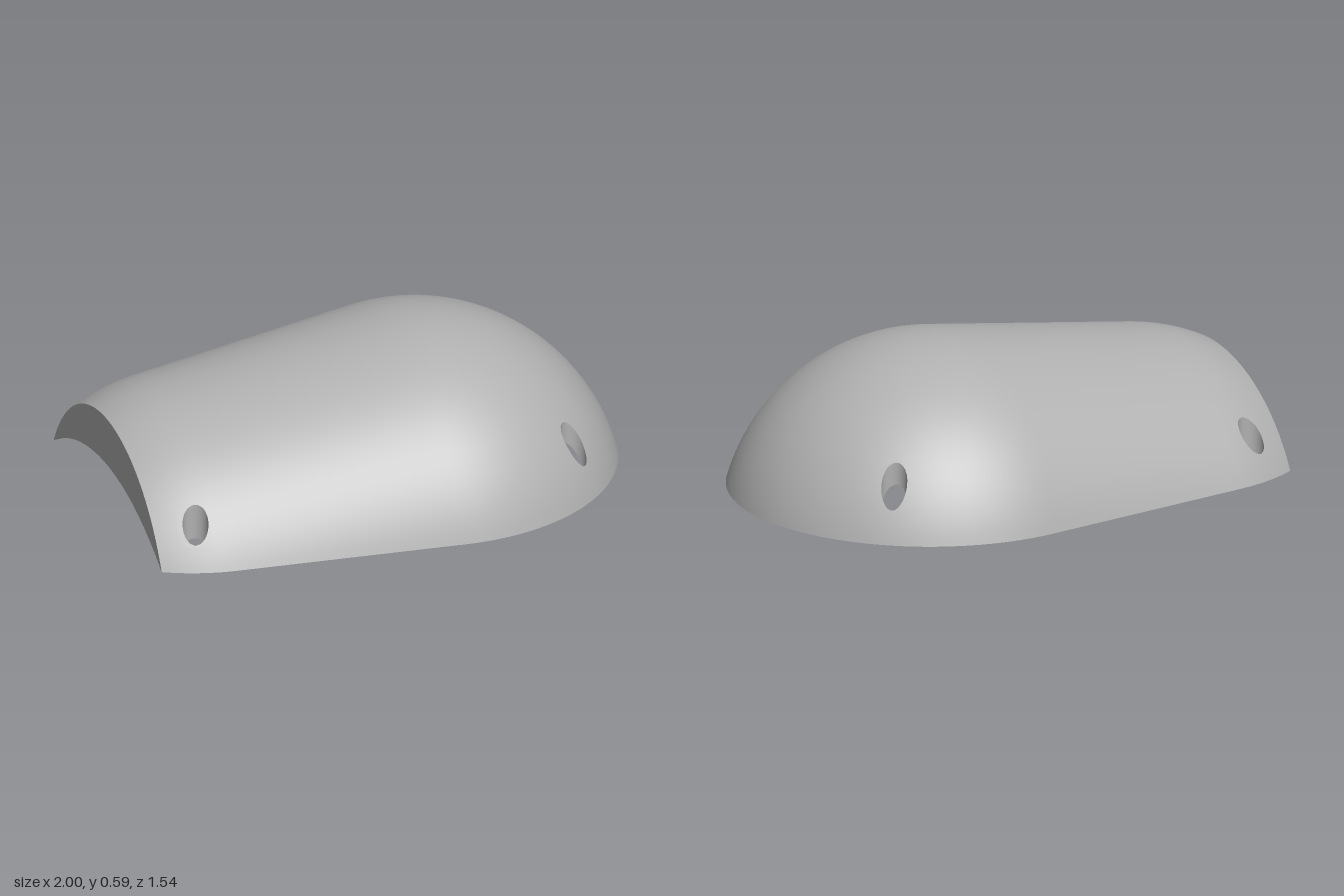
import * as THREE from 'three';

const NU = 120, NV = 72;       // grid cells along x and across z
const HOLE_R = 0.049;
const HOLES = [[-0.85, 0.555], [-0.85, -0.555], [0.69, 0.495], [0.69, -0.495]];

// Upper outline of two circles [x, y, radius] joined by their common tangent
function hull(a, b) {
  const dx = a[0] - b[0], dy = a[1] - b[1];
  const t = Math.atan2(dy, dx) + Math.asin((a[2] - b[2]) / Math.hypot(dx, dy));
  const touch = (c) => [c[0] - c[2] * Math.sin(t), c[1] + c[2] * Math.cos(t)];
  const A = touch(a), B = touch(b);
  const arc = (c, x) => c[1] + Math.sqrt(Math.max(0, c[2] ** 2 - (x - c[0]) ** 2));
  return (x) => {
    if (x >= A[0]) return Math.max(0, arc(a, x));
    if (x <= B[0]) return Math.max(0, arc(b, x));
    return B[1] + (A[1] - B[1]) * (x - B[0]) / (A[0] - B[0]);
  };
}

// A skin has a crown height and a half width for each x; each slice is a circular arc
function makeSkin(crown, halfWidth, xEnd) {
  const height = (x, z) => {
    const h = crown(x), w = halfWidth(x);
    if (h < 1e-5 || Math.abs(z) >= w) return 0;
    const r = (h * h + w * w) / (2 * h);
    return Math.max(0, h - r + Math.sqrt(Math.max(0, r * r - z * z)));
  };
  const xs = (i) => -1 + (xEnd + 1) * Math.sin((i / NU) * Math.PI / 2);
  const across = (j) => Math.sin((2 * j / NV - 1) * 1.1) / Math.sin(1.1);
  const at = (i, j) => {
    const x = xs(i), z = halfWidth(x) * across(j);
    return [x, j === 0 || j === NV ? 0 : height(x, z), z];
  };
  return { height, halfWidth, xs, across, at };
}

function toGeometry(points, index) {
  const g = new THREE.BufferGeometry();
  g.setAttribute('position', new THREE.Float32BufferAttribute(points.flat(), 3));
  g.setIndex(index);
  g.computeVertexNormals();
  return g;
}

// Grid surface with round holes stitched into it
function skinGeometry(skin, flip) {
  const pts = [], index = [], skip = new Set();
  const id = (i, j) => i * (NV + 1) + j;
  const tri = (a, b, c) => (flip ? index.push(a, c, b) : index.push(a, b, c));
  for (let i = 0; i <= NU; i++) for (let j = 0; j <= NV; j++) pts.push(skin.at(i, j));

  for (const [cx, cz] of HOLES) {
    // Block of cells around the hole
    const ss = [];
    for (let k = 0; k < 32; k++) {
      const t = k * Math.PI / 16, r = HOLE_R * 1.08;
      ss.push((cz + r * Math.sin(t)) / skin.halfWidth(cx + r * Math.cos(t)));
    }
    const lo = Math.min(...ss), hi = Math.max(...ss);
    let i0 = 0, i1 = NU, j0 = 0, j1 = NV;
    while (skin.xs(i0 + 1) < cx - HOLE_R * 1.08) i0++;
    while (skin.xs(i1 - 1) > cx + HOLE_R * 1.08) i1--;
    while (skin.across(j0 + 1) < lo) j0++;
    while (skin.across(j1 - 1) > hi) j1--;
    for (let i = i0; i < i1; i++) for (let j = j0; j < j1; j++) skip.add(id(i, j));
    const loop = [];
    for (let i = i0; i < i1; i++) loop.push(id(i, j0));
    for (let j = j0; j < j1; j++) loop.push(id(i1, j));
    for (let i = i1; i > i0; i--) loop.push(id(i, j1));
    for (let j = j1; j > j0; j--) loop.push(id(i0, j));

    // Rings from the hole's edge out to the block's edge
    const rings = [];
    for (let k = 0; k < 3; k++) {
      rings.push(loop.map((v) => {
        const [x, , z] = pts[v];
        const d = Math.hypot(x - cx, z - cz);
        const s = (HOLE_R + (d - HOLE_R) * k / 3) / d;
        const px = cx + (x - cx) * s, pz = cz + (z - cz) * s;
        return pts.push([px, skin.height(px, pz), pz]) - 1;
      }));
    }
    rings.push(loop);
    for (let k = 0; k < 3; k++) {
      loop.forEach((_, m) => {
        const n = (m + 1) % loop.length;
        const a = rings[k][m], b = rings[k][n], c = rings[k + 1][m], d = rings[k + 1][n];
        tri(a, b, c);
        tri(b, d, c);
      });
    }
  }

  for (let i = 0; i < NU; i++) {
    for (let j = 0; j < NV; j++) {
      if (skip.has(id(i, j))) continue;
      tri(id(i, j), id(i, j + 1), id(i + 1, j));
      tri(id(i, j + 1), id(i + 1, j + 1), id(i + 1, j));
    }
  }
  return toGeometry(pts, index);
}

// Band between two rows of points
function strip(count, p, q) {
  const pts = [], index = [];
  for (let k = 0; k <= count; k++) pts.push(p(k), q(k));
  for (let k = 0; k < count; k++) {
    const a = 2 * k;
    index.push(a, a + 1, a + 2, a + 1, a + 3, a + 2);
  }
  return toGeometry(pts, index);
}

export function createModel() {
  const group = new THREE.Group();
  const grey = new THREE.MeshStandardMaterial({ color: 0xb0b0b0 });
  grey.name = 'grey';
  const add = (name, geometry) => {
    const mesh = new THREE.Mesh(geometry, grey);
    mesh.name = name;
    group.add(mesh);
  };

  // Outer skin: two joined balls cut at the ground; inner skin thins toward the rim
  const drop = (r, w) => -Math.sqrt(r * r - w * w);
  const outer = makeSkin(
    hull([0.23, drop(0.799, 0.77), 0.799], [-0.66, drop(0.749, 0.684), 0.749]),
    hull([0.23, 0, 0.77], [-0.66, 0, 0.684]), 1);
  const inner = makeSkin(
    hull([0.23, drop(0.7865, 0.735), 0.7865], [-1, 0.17, 0]),
    hull([0.23, 0, 0.735], [-1, 0.592, 0]), 0.965);

  add('outerShell', skinGeometry(outer, false));
  add('innerShell', skinGeometry(inner, true));

  // Flat faces: open end and bottom rim
  add('endFace', strip(NV, (j) => outer.at(0, j), (j) => inner.at(0, j)));
  add('rimFront', strip(NU, (i) => outer.at(i, NV), (i) => inner.at(i, NV)));
  add('rimBack', strip(NU, (i) => inner.at(i, 0), (i) => outer.at(i, 0)));

  // Upright walls of the four holes
  HOLES.forEach(([cx, cz], n) => {
    const edge = (skin) => (k) => {
      const t = k * Math.PI / 24;
      const x = cx + HOLE_R * Math.cos(t), z = cz + HOLE_R * Math.sin(t);
      return [x, skin.height(x, z), z];
    };
    add('holeWall' + (n + 1), strip(48, edge(outer), edge(inner)));
  });
  return group;
}
